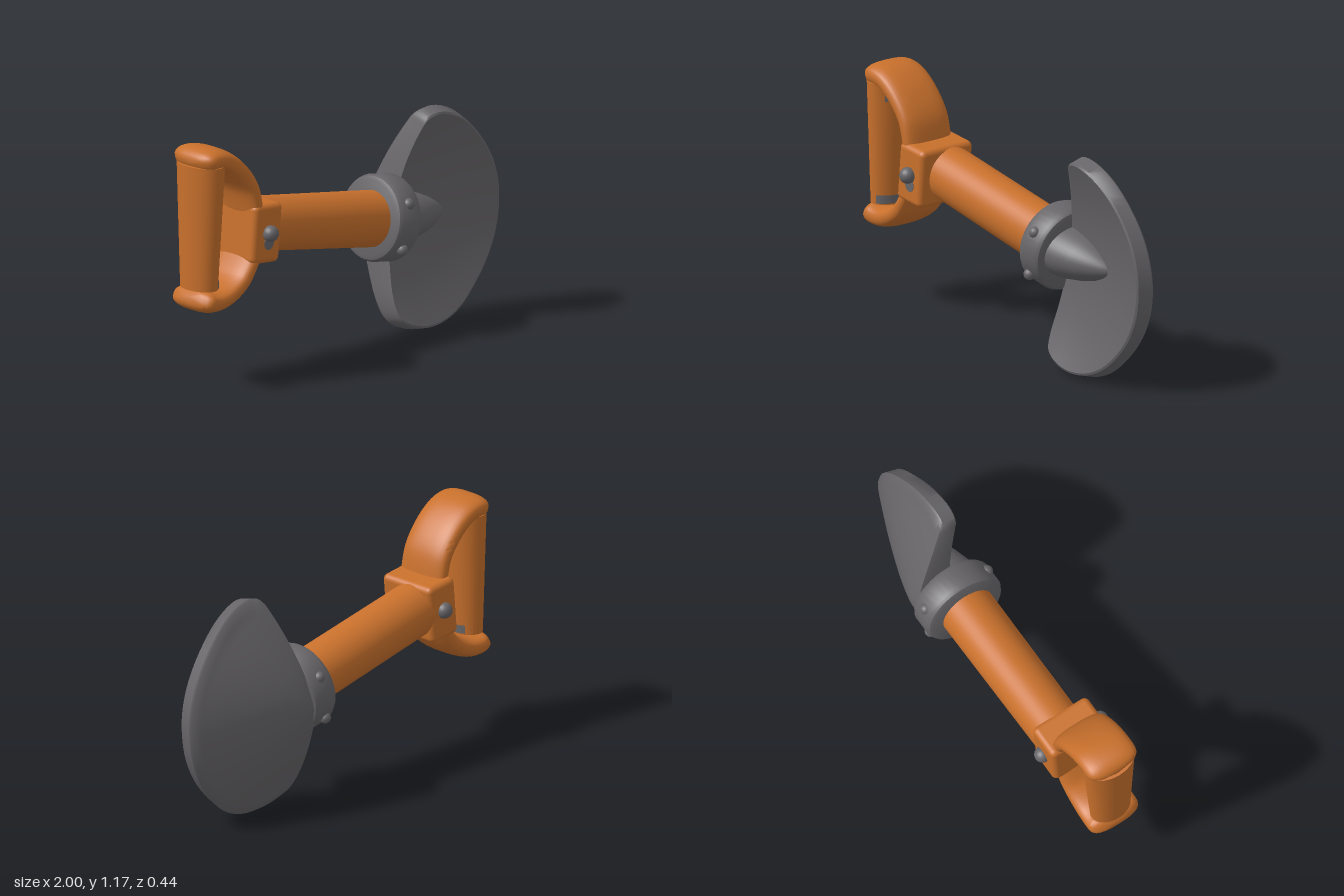
import * as THREE from 'three';
import { toCreasedNormals, mergeVertices } from 'three/addons/utils/BufferGeometryUtils.js';
import { RoundedBoxGeometry } from 'three/addons/geometries/RoundedBoxGeometry.js';

// skin a list of closed rings (each an array of [x, y, z]) into one surface
function skin(rings, crease) {
  const n = rings[0].length, index = [];
  for (let r = 1; r < rings.length; r++)
    for (let i = 0; i < n; i++) {
      const j = (i + 1) % n, a = (r - 1) * n, b = r * n;
      index.push(a + i, b + i, a + j, b + i, b + j, a + j);
    }
  const g = new THREE.BufferGeometry();
  g.setAttribute('position', new THREE.Float32BufferAttribute(rings.flat(2), 3));
  g.setIndex(index);
  return toCreasedNormals(mergeVertices(g), crease);
}

export function createModel() {
  const group = new THREE.Group();
  const orange = new THREE.MeshStandardMaterial({ color: 0xc8702c });
  orange.name = 'orange';
  const grey = new THREE.MeshStandardMaterial({ color: 0x676568 });
  grey.name = 'grey metal';

  const add = (name, geometry, material, x, y, z, tilt = 0) => {
    const mesh = new THREE.Mesh(geometry, material);
    mesh.name = name;
    mesh.position.set(x, y, z);
    mesh.rotation.z = tilt;
    group.add(mesh);
    return mesh;
  };
  // lathe whose axis runs along +x, from [distance along axis, radius] pairs
  const latheX = (profile) => {
    const g = new THREE.LatheGeometry(profile.map(([d, r]) => new THREE.Vector2(r, d)), 40);
    g.rotateZ(-Math.PI / 2);
    return g;
  };

  // shaft, sloping down to the blade
  add('shaft', toCreasedNormals(latheX([[-0.43, 0], [-0.43, 0.129], [0.43, 0.134], [0.43, 0]]), 0.6),
    orange, -0.135, 0.642, -0.007, -0.173);

  // joint block with a rivet on each side and a worn spot under the front one
  add('jointBlock', new RoundedBoxGeometry(0.18, 0.285, 0.305, 4, 0.028), orange, -0.603, 0.712, 0.019, -0.09);
  for (const z of [0.184, -0.135])
    add('blockRivet', new THREE.SphereGeometry(0.039, 20, 14), grey, -0.6, 0.717, z);
  const spot = add('wornSpot', new THREE.CylinderGeometry(0.03, 0.03, 0.004, 20).rotateX(Math.PI / 2),
    grey, -0.6, 0.668, 0.172);
  spot.scale.y = 1.1;

  // two rounded straps of the handle, swept with an oblong section and closed round ends
  const strap = (name, points) => {
    const curve = new THREE.SplineCurve(points.map(([x, y]) => new THREE.Vector2(x, y)));
    const rings = [];
    const rounded = (v, power) => Math.sign(v) * Math.abs(v) ** power;
    for (let i = 0; i <= 48; i++) {
      const u = i / 48;
      const p = curve.getPointAt(u), t = curve.getTangentAt(u);
      const end = Math.max(0, (u - 0.82) / 0.18);
      const half = (0.041 + 0.015 * u) * Math.sqrt(Math.max(0, 1 - end ** 3));
      const wide = 0.134 * Math.sqrt(Math.max(0, 1 - end ** 4));
      rings.push(Array.from({ length: 28 }, (_, k) => {
        const a = k / 28 * Math.PI * 2;
        const d = half * rounded(Math.cos(a), 0.7);
        return [p.x - t.y * d, p.y + t.x * d, 0.032 + wide * rounded(Math.sin(a), 0.75)];
      }));
    }
    add(name, skin(rings.reverse(), 0.9), orange, 0, 0, 0);
  };
  strap('upperStrap', [[-0.64, 0.81], [-0.672, 0.94], [-0.742, 1.035], [-0.83, 1.1], [-0.91, 1.118], [-0.985, 1.1]]);
  strap('lowerStrap', [[-0.66, 0.6], [-0.73, 0.5], [-0.83, 0.442], [-0.92, 0.433], [-0.985, 0.46]]);

  // oval grip, a little thicker at the top, with worn patches near both ends
  const grip = add('grip', new THREE.CylinderGeometry(0.091, 0.071, 0.6, 32), orange, -0.911, 0.79, 0.033, -0.02);
  grip.scale.z = 1.45;
  for (const [x, y, radius, height, start, length] of [
    [-0.907, 1.025, 0.0905, 0.045, 0.8, 1], [-0.917, 0.517, 0.0745, 0.04, 0.3, 1.9],
  ]) {
    const patch = add('wornGripPatch',
      new THREE.CylinderGeometry(radius, radius, height, 16, 1, true, start, length), grey, x, y, 0.033, -0.02);
    patch.scale.z = 1.45;
  }

  // collar with four rivets
  add('collar', toCreasedNormals(latheX([
    [-0.075, 0], [-0.075, 0.178], [-0.068, 0.196], [-0.05, 0.206], [0.05, 0.206],
    [0.068, 0.196], [0.075, 0.178], [0.075, 0],
  ]), 0.6), grey, 0.302, 0.567, -0.014, -0.175);
  for (const [x, y] of [[0.315, 0.665], [0.275, 0.452]])
    for (const s of [1, -1])
      add('collarRivet', new THREE.SphereGeometry(0.028, 16, 12), grey, x, y, -0.012 + s * 0.17);

  // tapering socket that runs into the blade
  const socket = add('socket', latheX([
    [0, 0.172], [0.08, 0.16], [0.16, 0.136], [0.23, 0.104], [0.29, 0.065], [0.33, 0.032], [0.35, 0],
  ]), grey, 0.35, 0.56, -0.02, -0.09);
  socket.scale.y = 0.76;

  // dished blade: concentric rings over the back, around the rim and over the front
  const outline = new THREE.CatmullRomCurve3([
    [0.47, 1.0], [0.49, 1.045], [0.54, 1.066], [0.63, 1.055], [0.75, 0.995], [0.86, 0.89], [0.94, 0.775],
    [0.985, 0.66], [1.0, 0.54], [0.98, 0.39], [0.92, 0.255], [0.83, 0.143], [0.73, 0.06],
    [0.62, 0.013], [0.5, 0.0], [0.4, 0.02], [0.325, 0.062], [0.306, 0.13], [0.32, 0.3],
    [0.355, 0.52], [0.395, 0.72], [0.43, 0.87],
  ].map(([x, y]) => new THREE.Vector3(x, y, 0)), true, 'centripetal').getPoints(96).slice(0, 96);
  // depth of the blade at a point: front 0 is the back face, front 1 the shallower front face
  const bladeZ = (x, y, front) => {
    const w = (y - 0.54 + 0.06 * (x - 0.45)) / 0.54;
    const t = Math.max(0, (x - 0.4) / 0.6);
    const q = w * w + t * t;
    const back = 0.03 * w * w - 0.2 * Math.max(0, 1 - q ** 0.65);
    const face = 0.088 + 0.045 * (1 - t) * w * w - 0.095 * Math.max(0, 1 - q);
    return back + (face - back) * front;
  };
  const profile = []; // [ring scale, back-to-front blend]
  for (let i = 0; i <= 12; i++) profile.push([0.001 + 0.984 * i / 12, 0]);
  profile.push([1, 0.12], [0.965, 0.9], [0.945, 1]);
  for (let i = 11; i >= 0; i--) profile.push([0.001 + 0.944 * i / 12, 1]);
  add('blade', skin(profile.map(([s, front]) => outline.map((p) => {
    const x = 0.5 + (p.x - 0.5) * s, y = 0.54 + (p.y - 0.54) * s;
    return [x, y, bladeZ(x, y, front)];
  })), 0.7), grey, 0, 0, 0);

  return group;
}
